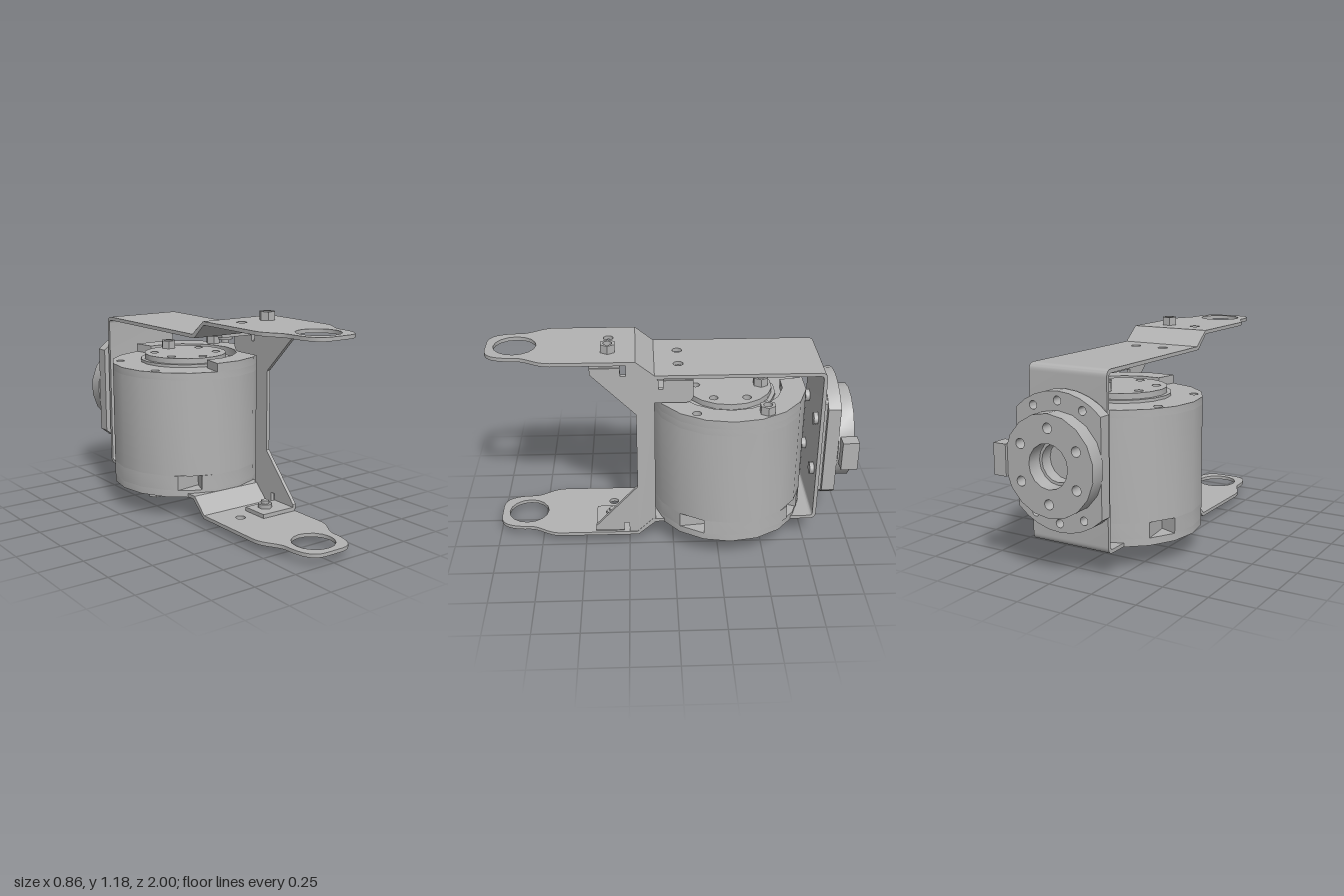
import * as THREE from 'three';
import { toCreasedNormals } from 'three/addons/utils/BufferGeometryUtils.js';

const steel = new THREE.MeshStandardMaterial({ color: 0xb2b2b2 });
steel.name = 'steel grey';
const MOTOR_Z = -0.31, R = 0.43, HORN_Y = 0.595;

const poly = (pts) => new THREE.Shape(pts.map(([x, y]) => new THREE.Vector2(x, y)));
const polar = (r, deg, cx = 0, cy = 0) => {
  const a = THREE.MathUtils.degToRad(deg);
  return [cx + r * Math.cos(a), cy + r * Math.sin(a)];
};
const ring = (n, r, cx = 0, cy = 0, start = 0) =>
  Array.from({ length: n }, (_, i) => polar(r, start + (i * 360) / n, cx, cy));
const drill = (shape, centres, r) => {
  for (const [x, y] of centres) {
    const hole = new THREE.Path();
    hole.absarc(x, y, r, 0, Math.PI * 2, true);
    shape.holes.push(hole);
  }
  return shape;
};
const extrude = (shape, depth) =>
  toCreasedNormals(new THREE.ExtrudeGeometry(shape, { depth, bevelEnabled: false, curveSegments: 8 }), 0.5);

// Plan shape (x, z) filling y0..y1
const plan = (shape, y0, y1) => extrude(shape, y1 - y0).rotateX(Math.PI / 2).translate(0, y1, 0);
// Side profile (z, y) filling x0..x1
const side = (shape, x0, x1) => extrude(shape, x1 - x0).rotateY(-Math.PI / 2).translate(x1, 0, 0);
// Rear shape (x, y) filling z0..z1
const rear = (shape, z0, z1) => extrude(shape, z1 - z0).translate(0, 0, z0);

function add(group, name, geometry) {
  const mesh = new THREE.Mesh(geometry, steel);
  mesh.name = name;
  group.add(mesh);
  return mesh;
}
function box(group, name, x0, x1, y0, y1, z0, z1) {
  return add(group, name, new THREE.BoxGeometry(x1 - x0, y1 - y0, z1 - z0)
    .translate((x0 + x1) / 2, (y0 + y1) / 2, (z0 + z1) / 2));
}

// Hex socket bolt head standing on a point; dir is +1 (up) or -1 (down)
function bolt(group, x, y, z, dir, h = 0.046) {
  const head = drill(poly(ring(6, 0.044)), [[0, 0]], 0.024);
  const g = extrude(head, h).rotateX(dir > 0 ? -Math.PI / 2 : Math.PI / 2);
  add(group, 'boltHead', g).position.set(x, y, z);
  add(group, 'boltSocketFloor', new THREE.CylinderGeometry(0.03, 0.03, h * 0.4, 12))
    .position.set(x, y + dir * h * 0.2, z);
}
function nut(group, x, y, z, dir) {
  add(group, 'nut', new THREE.CylinderGeometry(0.04, 0.04, 0.024, 6)).position.set(x, y + dir * 0.012, z);
  add(group, 'boltTip', new THREE.CylinderGeometry(0.022, 0.022, 0.042, 10)).position.set(x, y + dir * 0.021, z);
}

function buildBracket() {
  const g = new THREE.Group();
  g.name = 'bracket';
  const w = 0.23;

  // Ears: tapered tongues with a large end hole
  const ear = () => {
    const s = new THREE.Shape();
    s.moveTo(-w, 0.2);
    s.lineTo(w, 0.2);
    s.lineTo(w, 0.64);
    s.bezierCurveTo(w, 0.72, 0.165, 0.76, 0.16, 0.82);
    s.bezierCurveTo(0.16, 0.94, 0.13, 1, 0.05, 1);
    s.lineTo(-0.05, 1);
    s.bezierCurveTo(-0.13, 1, -0.16, 0.94, -0.16, 0.82);
    s.bezierCurveTo(-0.165, 0.76, -w, 0.72, -w, 0.64);
    drill(s, [[-0.085, 0.345]], 0.027);
    return drill(s, [[0, 0.845]], 0.115);
  };
  add(g, 'upperEar', plan(ear(), 1.12, 1.14));
  add(g, 'lowerEar', plan(ear(), 0.048, 0.068));

  // Sloped steps joining the ears to the frame
  add(g, 'upperStep', side(poly([[0.1, 1.04], [0.115, 1.04], [0.205, 1.12], [0.2, 1.14], [0.1, 1.06]]), -w, w));
  add(g, 'lowerStep', side(poly([[0.1, 0.135], [0.2, 0.048], [0.205, 0.068], [0.115, 0.155], [0.1, 0.155]]), -w, w));

  // Top plate with two holes, then the C-shaped back frame with rounded bends
  const top = poly([[-w, -0.7], [w, -0.7], [w, 0.1], [-w, 0.1]]);
  add(g, 'topPlate', plan(drill(top, [[-0.085, -0.03], [0.085, -0.03]], 0.027), 1.04, 1.06));
  const c = new THREE.Shape();
  c.moveTo(-0.7, 1.06);
  c.lineTo(-0.775, 1.06);
  c.quadraticCurveTo(-0.815, 1.06, -0.815, 1.02);
  c.lineTo(-0.815, 0.175);
  c.quadraticCurveTo(-0.815, 0.135, -0.775, 0.135);
  c.lineTo(0.1, 0.135);
  c.lineTo(0.1, 0.155);
  c.lineTo(-0.775, 0.155);
  c.quadraticCurveTo(-0.795, 0.155, -0.795, 0.175);
  c.lineTo(-0.795, 1.02);
  c.quadraticCurveTo(-0.795, 1.04, -0.775, 1.04);
  c.lineTo(-0.7, 1.04);
  add(g, 'backFrame', side(c, -w, w));

  for (const x of [-0.14, 0.14]) for (const y of [0.42, 0.74]) {
    add(g, 'backNut', new THREE.CylinderGeometry(0.038, 0.038, 0.025, 6).rotateX(Math.PI / 2))
      .position.set(x, y, -0.784);
  }
  return g;
}

function buildGusset() {
  const g = new THREE.Group();
  g.name = 'gusset';
  // Side web with bend-relief slots
  add(g, 'gussetWeb', side(poly([
    [0.2, 0.37], [0.2, 0.83], [0.44, 1.07], [0.44, 1.105], [0.28, 1.105], [0.28, 1.06], [0.25, 1.06],
    [0.25, 1.12], [0.2, 1.12], [0.1, 1.04], [0.08, 1.035], [0.08, 0.98], [0.055, 0.98], [0.055, 1.03],
    [-0.105, 1.03], [-0.105, 0.93], [-0.09, 0.905], [-0.07, 0.9], [0.1, 0.9], [0.1, 0.155], [0.2, 0.068],
    [0.25, 0.068], [0.25, 0.13], [0.28, 0.13], [0.28, 0.08], [0.44, 0.08], [0.44, 0.11],
  ]), 0.207, 0.228));
  // Bent-over tabs bolted to the plates
  box(g, 'upperTab', 0, 0.22, 1.095, 1.117, 0.28, 0.44);
  box(g, 'lowerTab', 0, 0.22, 0.071, 0.093, 0.28, 0.44);
  box(g, 'innerTab', 0, 0.22, 1.013, 1.035, -0.105, 0.055);
  bolt(g, 0.085, 1.14, 0.345, 1);
  nut(g, 0.085, 1.095, 0.345, -1);
  bolt(g, 0.085, 0.048, 0.345, -1);
  nut(g, 0.085, 0.093, 0.345, 1);
  nut(g, 0.085, 1.013, -0.03, -1);
  return g;
}

function buildMotor() {
  const g = new THREE.Group();
  g.name = 'motor';
  const rim = (a, r = R) => polar(r, a, 0, MOTOR_Z);
  const round = () => poly(ring(18, R, 0, MOTOR_Z));

  // Case in layers, with four wedge-shaped pockets round the lower wall
  const notched = [];
  for (let a = 0; a < 360; a += 20) {
    notched.push(rim(a));
    if ([20, 110, 200, 290].includes(a)) notched.push(rim(a, 0.33));
    if (a === 100 || a === 280) notched.push(rim(a + 12), rim(a + 12, 0.33), rim(a + 30));
    if (a === 200) continue;
    if (a === 100 || a === 280) a += 20; // the pocket replaces this facet
  }
  add(g, 'caseBottom', plan(drill(round(), ring(12, 0.34, 0, MOTOR_Z, 12), 0.02), 0.132, 0.172));
  add(g, 'pocketBand', plan(poly(notched), 0.172, 0.255));
  add(g, 'caseWall', plan(round(), 0.255, 0.8));
  const screwHoles = [30, 150, 210, 330].map((a) => rim(a, 0.38));
  add(g, 'caseTop', plan(drill(round(), screwHoles.slice(1, 3), 0.024), 0.8, 0.84));

  // Raised half rim around the rotor
  const arc = [-100, -80, -60, -40, -20, 0, 20, 40, 60, 80, 100];
  const half = poly([...arc.map((a) => rim(a)), ...[...arc].reverse().map((a) => rim(a, 0.3))]);
  add(g, 'raisedRim', plan(drill(half, [screwHoles[0]], 0.024), 0.84, 0.887));
  add(g, 'rotorBase', plan(poly(ring(18, 0.262, 0, MOTOR_Z)), 0.84, 0.856));
  const rotor = drill(poly(ring(18, 0.24, 0, MOTOR_Z)), ring(6, 0.18, 0, MOTOR_Z, 30), 0.024);
  add(g, 'rotor', plan(rotor, 0.856, 0.887));

  bolt(g, 0, 0.887, -0.49, 1);
  bolt(g, 0.33, 0.887, -0.49, 1);
  for (const [x, z] of [[0.28, -0.08], [0.08, 0.28], [-0.28, 0.08], [-0.08, -0.28]]) {
    bolt(g, x, 0.132, -0.29 + z, -1);
  }
  return g;
}

function buildHorn() {
  const g = new THREE.Group();
  g.name = 'outputHorn';
  // Round flange with flattened sides
  const flange = (r, half) => {
    const a = THREE.MathUtils.radToDeg(Math.acos(half / r)), pts = [];
    for (const base of [0, 180]) {
      for (let i = 0; i <= 8; i++) pts.push(polar(r, base + a + ((180 - 2 * a) * i) / 8, 0, HORN_Y));
    }
    return poly(pts);
  };
  const holes = [62, 90, 118, 242, 270, 298].map((a) => polar(0.31, a, 0, HORN_Y));
  const bore = [[0, HORN_Y]];
  add(g, 'spacer', rear(flange(0.35, 0.22), -0.832, -0.813));
  add(g, 'flange', rear(drill(drill(flange(0.357, 0.25), holes, 0.022), bore, 0.1), -0.9, -0.83));
  const disc = poly(ring(18, 0.262, 0, HORN_Y, 10));
  drill(disc, ring(6, 0.19, 0, HORN_Y, 30), 0.026);
  add(g, 'disc', rear(drill(disc, bore, 0.115), -0.985, -0.9));
  box(g, 'sideLug', 0.245, 0.32, 0.515, 0.68, -1, -0.91);
  return g;
}

export function createModel() {
  const model = new THREE.Group();
  model.name = 'motorBracketAssembly';
  model.add(buildBracket(), buildGusset(), buildMotor(), buildHorn());
  return model;
}
